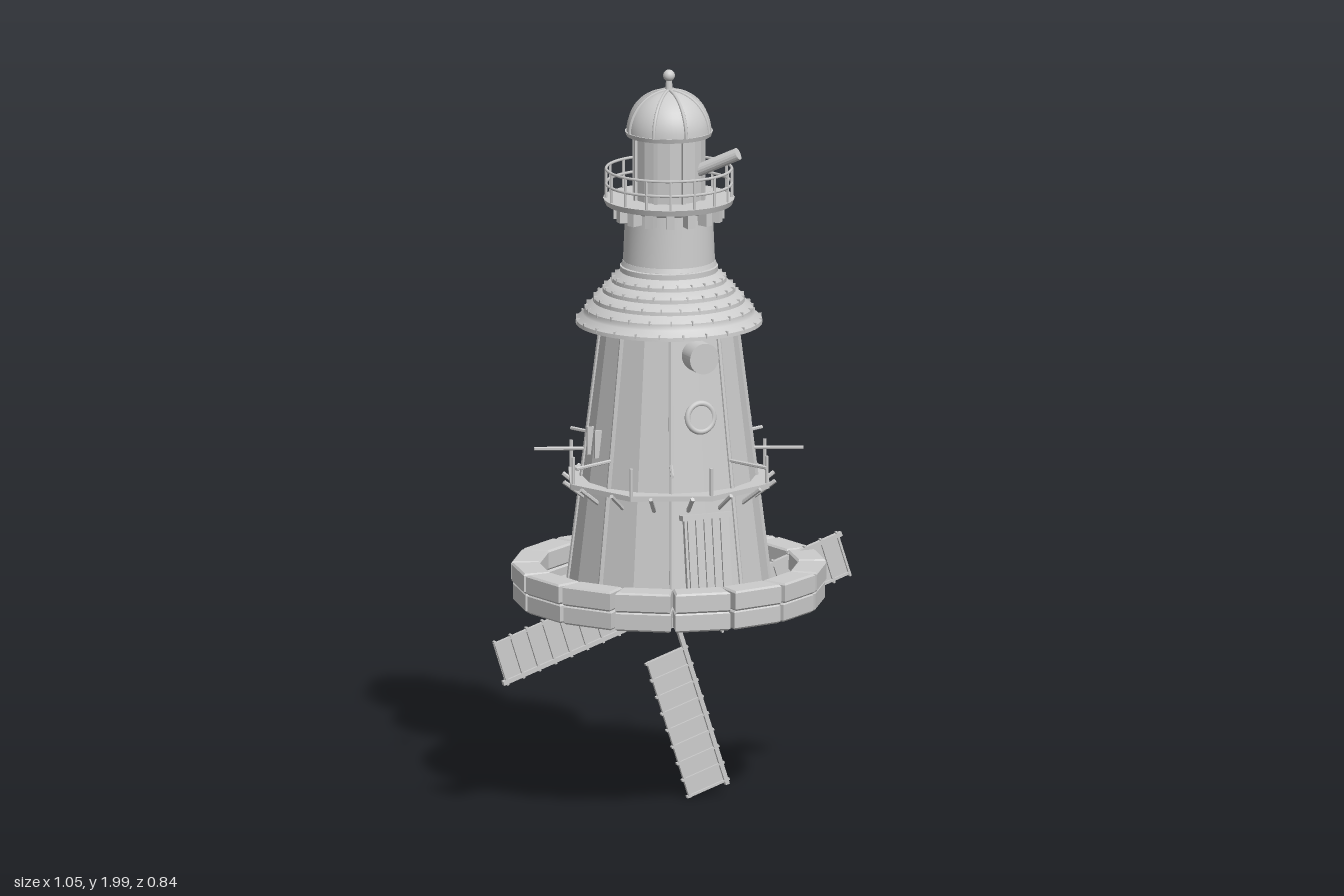
import * as THREE from 'three';
import { toCreasedNormals } from 'three/addons/utils/BufferGeometryUtils.js';

const grey = new THREE.MeshStandardMaterial({ color: 0xcccccc });
grey.name = 'stone grey';

function add(parent, name, geometry, x = 0, y = 0, z = 0) {
  const m = new THREE.Mesh(geometry, grey);
  m.name = name;
  m.position.set(x, y, z);
  parent.add(m);
  return m;
}
const box = (w, h, d) => new THREE.BoxGeometry(w, h, d);
const cyl = (rt, rb, h, n = 32) => toCreasedNormals(new THREE.CylinderGeometry(rt, rb, h, n), 0.35);
const lathe = (pts, n = 40) =>
  toCreasedNormals(new THREE.LatheGeometry(pts.map(p => new THREE.Vector2(...p)), n), 0.6);

// Repeat a part around the vertical axis; local +z points outward
function around(parent, name, n, offset, build) {
  const g = new THREE.Group();
  g.name = name;
  for (let i = 0; i < n; i++) {
    const s = new THREE.Group();
    s.rotation.y = ((i + offset) / n) * Math.PI * 2;
    build(s);
    g.add(s);
  }
  parent.add(g);
}

// Round bar between two points
function bar(parent, name, a, b, r, n = 8) {
  const p = new THREE.Vector3(...a), q = new THREE.Vector3(...b);
  const m = add(parent, name, cyl(r, r, p.distanceTo(q), n));
  m.position.copy(p).add(q).multiplyScalar(0.5);
  m.quaternion.setFromUnitVectors(new THREE.Vector3(0, 1, 0), q.sub(p).normalize());
}

const SIDES = 16;
const towerR = y => 0.18 + 0.125 * (1.31 - y);

function buildBase(g) {
  add(g, 'baseDeck', cyl(0.355, 0.355, 0.025, 16), 0, 0.563, 0);
  add(g, 'underDisc', cyl(0.27, 0.27, 0.02, 32), 0, 0.549, 0);
  around(g, 'underBlocks', 24, 0, s => add(s, 'underBlock', box(0.068, 0.014, 0.03), 0, 0.545, 0.27));
  // Two courses of wedge blocks with open joints
  const course = (y, h, r) => {
    const b = 0.005;
    const shape = new THREE.Shape();
    shape.moveTo(-0.062, 0.343);
    shape.lineTo(0.062, 0.343);
    shape.lineTo(0.07, r - b);
    shape.lineTo(-0.07, r - b);
    shape.closePath();
    const geo = new THREE.ExtrudeGeometry(shape, {
      depth: h - 2 * b, bevelEnabled: true, bevelSize: b, bevelThickness: b, bevelSegments: 1,
    });
    geo.rotateX(Math.PI / 2);
    around(g, 'wallCourse', 16, 0.5, s => add(s, 'wallBlock', geo, 0, y + h - b, 0));
  };
  course(0.55, 0.052, 0.41);
  course(0.602, 0.054, 0.415);
}

function buildTower(g) {
  const body = new THREE.CylinderGeometry(towerR(1.33), towerR(0.56), 0.77, SIDES).toNonIndexed();
  body.computeVertexNormals();
  add(g, 'towerBody', body, 0, 0.945, 0);
  around(g, 'cornerBattens', 8, 0.5, s =>
    bar(s, 'batten', [0, 0.57, towerR(0.57)], [0, 1.32, towerR(1.32)], 0.007, 6));

  // Plank door with lintel and step
  const door = new THREE.Group();
  door.name = 'door';
  door.position.set(0, 0.7, towerR(0.7));
  door.rotation.x = -0.124;
  add(door, 'doorPanel', box(0.13, 0.26, 0.012));
  for (let i = 0; i < 5; i++) add(door, 'doorPlank', box(0.02, 0.25, 0.012), -0.048 + i * 0.024, 0, 0.006);
  add(door, 'lintel', box(0.145, 0.014, 0.025), 0, 0.128, 0.002);
  g.add(door);
  add(g, 'doorStep', box(0.18, 0.02, 0.09), 0, 0.583, 0.297);

  // Round window and the pipe above it
  const porthole = new THREE.Group();
  porthole.name = 'porthole';
  porthole.position.set(0, 1.09, towerR(1.09));
  porthole.rotation.x = -0.124;
  add(porthole, 'portholeRim', new THREE.TorusGeometry(0.038, 0.008, 10, 32));
  add(porthole, 'portholeGlass', cyl(0.036, 0.036, 0.01)).rotation.x = Math.PI / 2;
  g.add(porthole);
  add(g, 'frontPipe', cyl(0.042, 0.042, 0.07), 0, 1.255, 0.198).rotation.x = Math.PI / 2;

  // Small side window frames
  for (const side of [-1, 1]) for (const z of [-0.025, 0.025])
    add(g, 'windowBar', box(0.02, 0.075, 0.008), side * towerR(1), 1.0, z);
}

function buildGallery(g) {
  const shape = new THREE.Shape();
  const hole = new THREE.Path();
  for (let i = 0; i < 8; i++) {
    const a = i * Math.PI / 4, f = i ? 'lineTo' : 'moveTo';
    shape[f](0.288 * Math.cos(a), 0.288 * Math.sin(a));
    hole[f](0.2 * Math.cos(a), 0.2 * Math.sin(a));
  }
  shape.holes.push(hole);
  const deck = new THREE.ExtrudeGeometry(shape, { depth: 0.014, bevelEnabled: false });
  deck.rotateX(-Math.PI / 2);
  add(g, 'galleryDeck', deck, 0, 0.877, 0);
  around(g, 'galleryBraces', 16, 0.5, s =>
    bar(s, 'brace', [0, 0.886, 0.288], [0, 0.83, 0.215], 0.006, 6));
  around(g, 'galleryPosts', 8, 0, s =>
    bar(s, 'post', [0, 0.88, 0.28], [0, 0.965, 0.28], 0.005, 6));
  around(g, 'galleryPoles', 8, 0.5, s =>
    bar(s, 'pole', [0, 0.965, 0.14], [0, 0.965, 0.36], 0.005, 6));
}

function buildRoof(g) {
  // Stepped shingle skirt
  const rows = [[0.25, 1.31], [0.226, 1.342], [0.203, 1.37], [0.178, 1.397], [0.154, 1.424]];
  const pts = [[0.16, 1.31]];
  rows.forEach(([r, y]) => pts.push([r, y], [r - 0.001, y + 0.01], [r - 0.02, y + 0.026]));
  pts.push([0.131, 1.452], [0.131, 1.466], [0.11, 1.47]);
  add(g, 'shingleSkirt', lathe(pts, 48));
  rows.forEach(([r, y], k) => around(g, 'shingleJoints', 24, k % 2 / 2, s =>
    add(s, 'joint', box(0.004, 0.012, 0.012), 0, y + 0.011, r - 0.006)));

  // Neck with corbels
  add(g, 'neck', cyl(0.116, 0.124, 0.18), 0, 1.55, 0);
  add(g, 'neckBand', cyl(0.124, 0.128, 0.012), 0, 1.475, 0);
  add(g, 'corbelBand', cyl(0.135, 0.12, 0.02), 0, 1.63, 0);
  around(g, 'corbels', 16, 0, s => {
    add(s, 'corbel', box(0.022, 0.042, 0.035), 0, 1.615, 0.131);
  });
}

function buildLantern(g) {
  add(g, 'lanternDeck', cyl(0.176, 0.17, 0.016, 32), 0, 1.643, 0);
  around(g, 'lanternPosts', 16, 0, s =>
    bar(s, 'post', [0, 1.645, 0.168], [0, 1.73, 0.168], 0.004, 6));
  for (const y of [1.69, 1.73])
    add(g, 'lanternRail', new THREE.TorusGeometry(0.168, 0.004, 6, 48), 0, y, 0).rotation.x = Math.PI / 2;

  add(g, 'lanternRoom', cyl(0.095, 0.095, 0.19, 16), 0, 1.74, 0);
  around(g, 'mullions', 8, 0, s => add(s, 'mullion', box(0.01, 0.18, 0.012), 0, 1.74, 0.096));
  add(g, 'domeRim', cyl(0.118, 0.114, 0.012), 0, 1.828, 0);

  // Dome with ribs
  const arc = [];
  for (let i = 0; i <= 12; i++) {
    const a = i / 12 * Math.PI / 2;
    arc.push([Math.max(0.114 * Math.cos(a), 0.0001), 1.832 + 0.112 * Math.sin(a)]);
  }
  add(g, 'dome', lathe(arc, 40));
  const curve = new THREE.CatmullRomCurve3(arc.map(([r, y]) => new THREE.Vector3(0, y, r)));
  const rib = new THREE.TubeGeometry(curve, 14, 0.005, 6);
  around(g, 'domeRibs', 8, 0, s => add(s, 'rib', rib));

  add(g, 'finialRod', cyl(0.007, 0.011, 0.045, 12), 0, 1.96, 0);
  add(g, 'finialBall', new THREE.SphereGeometry(0.016, 16, 12), 0, 1.984, 0);
  bar(g, 'telescope', [0.03, 1.715, 0.04], [0.14, 1.785, 0.14], 0.017, 16);
}

function buildSails(g) {
  const wheel = new THREE.Group();
  wheel.name = 'sailWheel';
  wheel.position.set(0, 0.53, 0.02);
  add(wheel, 'hub', cyl(0.038, 0.038, 0.05, 12), 0, 0.005, -0.008).rotation.x = Math.PI / 2;
  for (let k = 0; k < 4; k++) {
    const sail = new THREE.Group();
    sail.name = 'sail';
    sail.rotation.z = THREE.MathUtils.degToRad(18) + k * Math.PI / 2;
    add(sail, 'stock', box(0.012, 0.52, 0.014), 0, -0.26, 0);
    add(sail, 'sailCloth', box(0.11, 0.4, 0.004), -0.056, -0.312, -0.003);
    add(sail, 'outerBar', box(0.007, 0.4, 0.01), -0.111, -0.312, 0);
    for (let i = 0; i < 9; i++)
      add(sail, 'rung', box(0.13, 0.006, 0.012), -0.055, -0.116 - i * 0.049, 0);
    wheel.add(sail);
  }
  g.add(wheel);
}

export function createModel() {
  const model = new THREE.Group();
  model.name = 'lighthouse';
  const parts = { base: buildBase, tower: buildTower, gallery: buildGallery, roof: buildRoof, lantern: buildLantern, sails: buildSails };
  for (const [name, build] of Object.entries(parts)) {
    const g = new THREE.Group();
    g.name = name;
    build(g);
    model.add(g);
  }
  return model;
}
